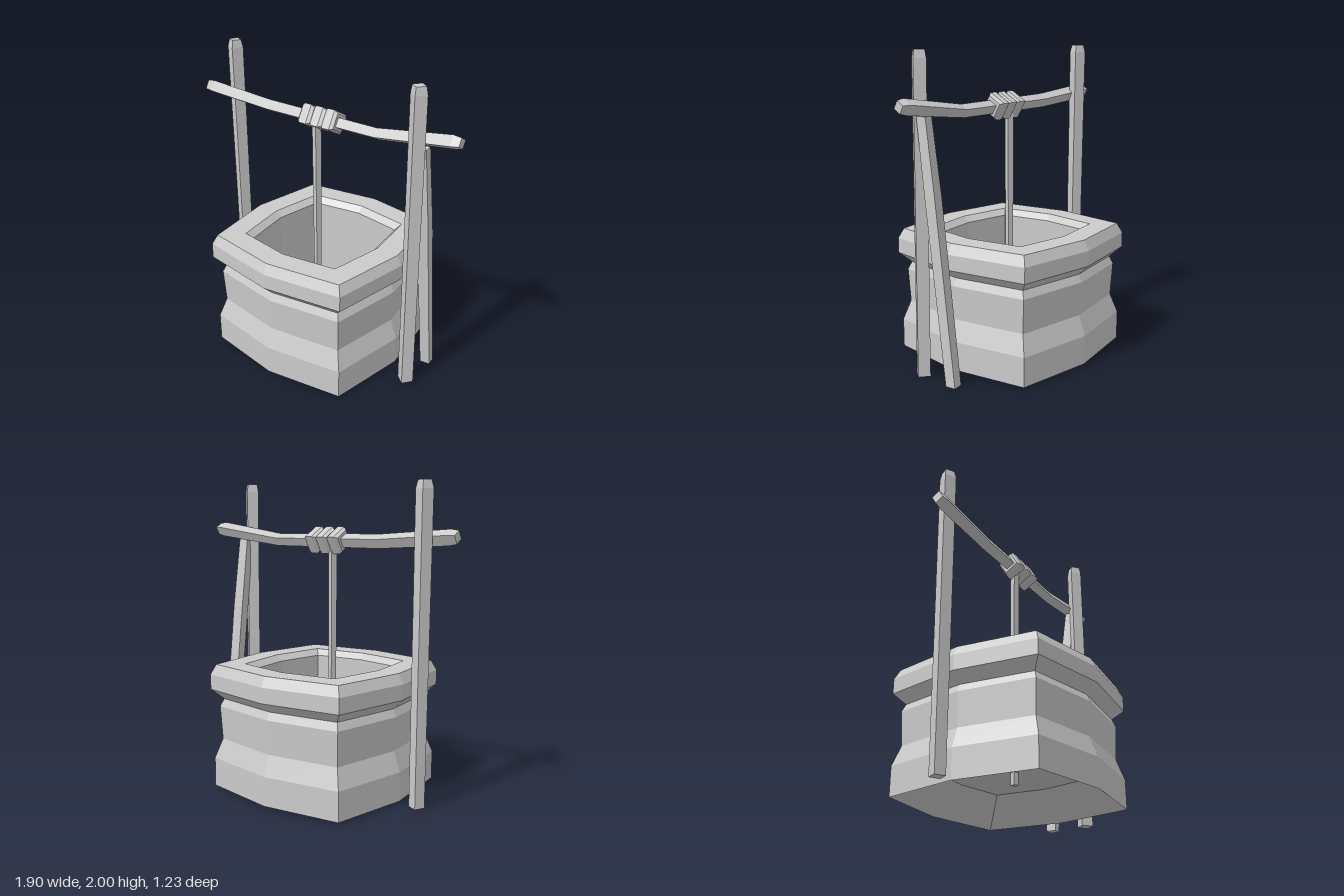
import * as THREE from 'three';

const material = new THREE.MeshStandardMaterial({ color: 0xcccccc, flatShading: true, side: THREE.DoubleSide });

// Skins a list of equal-length rings (counter-clockwise about the path) and caps both ends.
function loft(name, rings) {
  const positions = [];
  const tri = (...points) => points.forEach((p) => positions.push(p.x, p.y, p.z));
  const n = rings[0].length;
  for (let k = 0; k < rings.length - 1; k++) {
    const a = rings[k], b = rings[k + 1];
    for (let i = 0; i < n; i++) {
      const j = (i + 1) % n;
      tri(a[i], a[j], b[j]);
      tri(a[i], b[j], b[i]);
    }
  }
  const first = rings[0], last = rings[rings.length - 1];
  for (let i = 1; i < n - 1; i++) {
    tri(first[0], first[i + 1], first[i]);
    tri(last[0], last[i], last[i + 1]);
  }
  const geometry = new THREE.BufferGeometry();
  geometry.setAttribute('position', new THREE.Float32BufferAttribute(positions, 3));
  geometry.computeVertexNormals();
  const mesh = new THREE.Mesh(geometry, material);
  mesh.name = name;
  return mesh;
}

// Square section of a given side, turned by degrees, lying across the y or x axis.
function square(axis, [x, y, z, side], degrees) {
  const r = side / Math.SQRT2;
  return [45, 135, 225, 315].map((corner) => {
    const t = THREE.MathUtils.degToRad(corner + degrees);
    const u = r * Math.cos(t), v = r * Math.sin(t);
    return axis === 'y' ? new THREE.Vector3(x + u, y, z - v) : new THREE.Vector3(x, y + u, z + v);
  });
}

const timber = (name, axis, degrees, stations) =>
  loft(name, stations.map((s) => square(axis, s, degrees)));

// Bulging eight-sided outline: four mid-side points and four corners.
function wellRing([r, y]) {
  const ring = [];
  for (let i = 0; i < 8; i++) {
    const t = (i * Math.PI) / 4;
    const radius = i % 2 ? r * 0.865 * Math.SQRT2 : r;
    ring.push(new THREE.Vector3(-0.03 + radius * Math.cos(t), y, -radius * Math.sin(t)));
  }
  return ring;
}

export function createModel() {
  const model = new THREE.Group();
  model.name = 'well';

  // Stone wall: hollow underside, stepped outside, rim, then inside down to the floor
  const profile = [
    [0.39, 0.19], [0.6, 0.01], [0.6, 0.2], [0.555, 0.33], [0.567, 0.55], [0.545, 0.6],
    [0.615, 0.665], [0.615, 0.765], [0.583, 0.83], [0.43, 0.83], [0.39, 0.79], [0.39, 0.2],
  ];
  model.add(loft('wellWall', profile.map(wellRing)));

  // Uprights with bevelled tops, and the leaning brace behind one of them
  model.add(timber('rightPost', 'y', -25, [
    [-0.755, 0, 0.005, 0.07], [-0.77, 1.95, 0.005, 0.077], [-0.77, 2, 0.005, 0.058],
  ]));
  model.add(timber('leftPost', 'y', -38, [
    [0.718, 0, 0.098, 0.077], [0.705, 1.95, 0.09, 0.077], [0.705, 2, 0.09, 0.062],
  ]));
  model.add(timber('brace', 'y', 9, [
    [0.722, 0, -0.16, 0.066], [0.722, 1.15, -0.02, 0.072], [0.722, 1.62, 0.042, 0.064],
  ]));

  // Sagging crossbar
  model.add(timber('crossbar', 'x', -30, [
    [-0.955, 1.667, 0.08, 0.06], [-0.9, 1.665, 0.078, 0.072], [-0.42, 1.632, 0.06, 0.066],
    [0.4, 1.625, 0.035, 0.06], [0.9, 1.688, 0.01, 0.07], [0.95, 1.69, 0.008, 0.055],
  ]));

  // Three turns of rope round the crossbar
  const windings = new THREE.Group();
  windings.name = 'ropeWindings';
  [-0.1, -0.01, 0.076].forEach((x, i) => {
    const z = 0.05 - 0.004 * i;
    const turn = [[-0.046, 0.1], [-0.025, 0.127], [0.025, 0.127], [0.046, 0.1]];
    windings.add(timber('ropeTurn', 'x', -30, turn.map(([dx, s]) => [x + dx, 1.63, z, s])));
  });
  model.add(windings);

  // Hanging rope
  model.add(timber('rope', 'y', -20, [[-0.055, 0.11, 0.04, 0.034], [-0.057, 1.6, 0.045, 0.042]]));

  return model;
}
